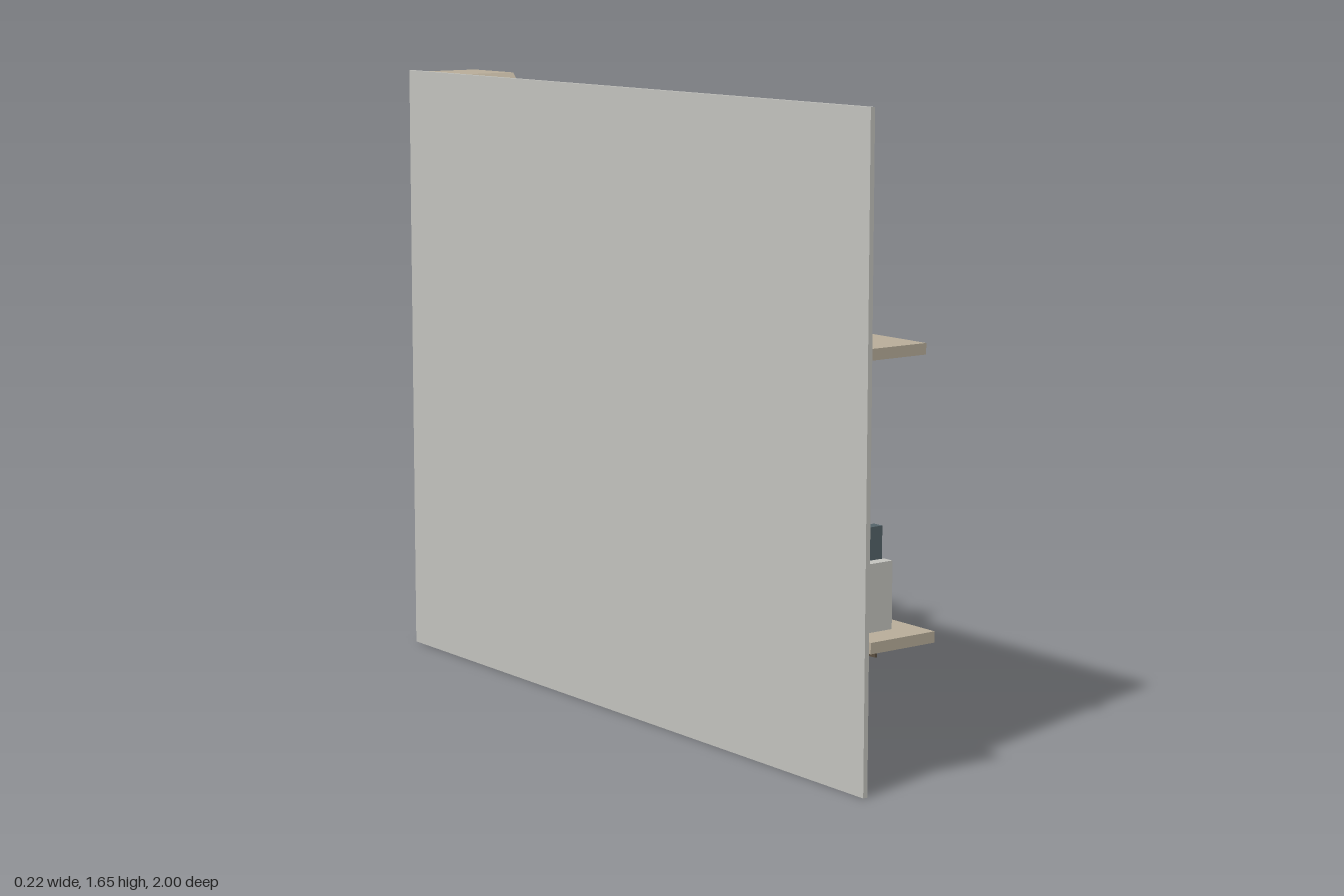
import * as THREE from 'three';

const material = (name, color) => {
  const m = new THREE.MeshStandardMaterial({ color });
  m.name = name;
  return m;
};

export function createModel() {
  const model = new THREE.Group();
  model.name = 'steppedWallShelves';
  const plaster = material('pale grey', 0xc4c4bf);
  const wood = material('light wood', 0xb9ae9a);
  const slate = material('slate', 0x55646a);
  const trim = material('dark trim', 0x5c5042);
  const sand = material('sand', 0xb5ac92);

  const add = (name, geometry, mat, x, y, z, parent = model) => {
    const mesh = new THREE.Mesh(geometry, mat);
    mesh.name = name;
    mesh.position.set(x, y, z);
    parent.add(mesh);
    return mesh;
  };

  // Bent strip along a [z, y] path, between two depths below it, from x0 to x1.
  // Both bends of a 45 degree ramp are mitred, so inner corners shift towards -z.
  const strip = (name, path, from, to, x0, x1, mat) => {
    const offset = (d) => path.map(([z, y], i) => {
      const bend = i > 0 && i < path.length - 1;
      return new THREE.Vector2(-z + (bend ? d * Math.tan(Math.PI / 8) : 0), y - d);
    });
    const shape = new THREE.Shape([...offset(from), ...offset(to).reverse()]);
    const geo = new THREE.ExtrudeGeometry(shape, { depth: x1 - x0, bevelEnabled: false });
    geo.rotateY(Math.PI / 2);
    add(name, geo, mat, x0, 0, 0);
  };

  // Wall panel
  add('wallPanel', new THREE.BoxGeometry(0.013, 1.655, 2), plaster, -0.106, 0.8275, 0);

  // Shelves, each with a narrow rail underneath
  const paths = {
    upper: [[0.955, 1.08], [0.548, 1.08], [0.263, 1.365], [-0.52, 1.365], [-0.805, 1.65], [-1, 1.65]],
    lower: [[1, 0.38], [0.24, 0.38], [-0.055, 0.675], [-0.975, 0.675]],
  };
  for (const [level, path] of Object.entries(paths)) {
    strip(level + 'Shelf', path, 0, 0.028, -0.094, 0.109, wood);
    strip(level + 'ShelfRail', path, 0.028, 0.038, -0.08, -0.074, trim);
  }

  // Rows of books running towards the back
  const heights = [0.17, 0.25, 0.226, 0.204, 0.182, 0.262, 0.24];
  const books = (name, count, y, z) => {
    const row = new THREE.Group();
    row.name = name;
    row.position.set(-0.015, y, z);
    model.add(row);
    for (let i = 0; i < count; i++) {
      const h = heights[i];
      add('book', new THREE.BoxGeometry(0.112, h, 0.031), i % 3 === 1 ? slate : plaster,
        0, h / 2, -0.0155 - i * 0.039, row);
    }
  };
  books('upperBooks', 7, 1.365, 0.03);
  books('lowerFrontBooks', 6, 0.38, 0.92);
  books('lowerBackBooks', 5, 0.675, -0.68);

  // Egg-shaped ornaments
  const egg = new THREE.SphereGeometry(1, 32, 20).scale(0.054, 0.068, 0.054);
  add('upperOrnament', egg, wood, 0, 1.148, 0.775);
  add('lowerOrnament', egg, sand, 0, 0.745, -0.475);

  return model;
}
